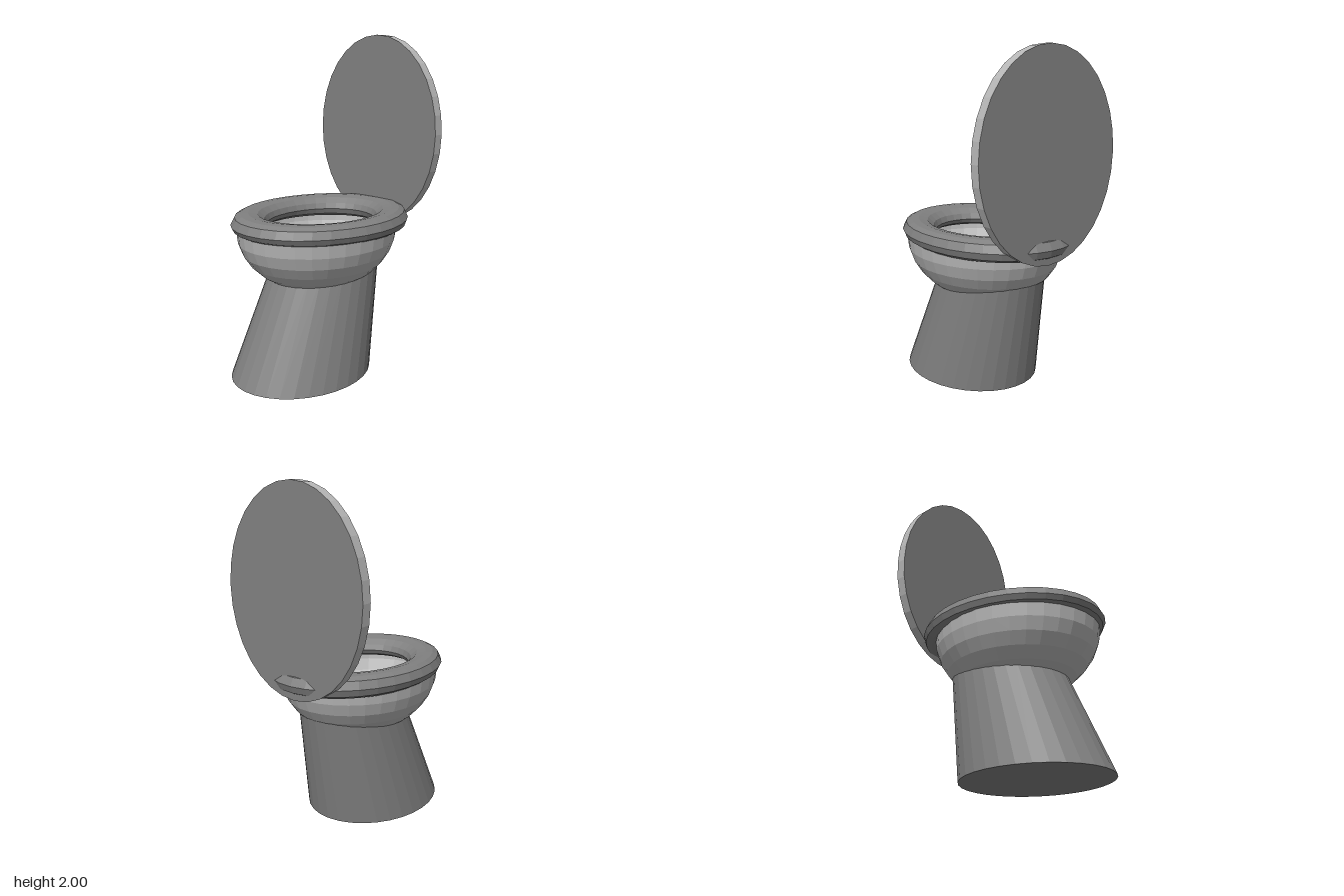
import * as THREE from 'three';

const SEGMENTS = 32;

export function createModel() {
  const model = new THREE.Group();
  const mat = (name, color, side = THREE.FrontSide) =>
    new THREE.MeshStandardMaterial({ name, color, side, flatShading: true });
  const darkGrey = mat('darkGrey', 0x808080);
  const lightGrey = mat('lightGrey', 0xb8b8b8, THREE.DoubleSide);

  const add = (name, geometry, material) => {
    const mesh = new THREE.Mesh(geometry, material);
    mesh.name = name;
    model.add(mesh);
    return mesh;
  };
  const lathe = (points) =>
    new THREE.LatheGeometry(points.map(([r, y]) => new THREE.Vector2(r, y)), SEGMENTS);

  // Pedestal: oval tapered column that leans back towards the top
  const height = 0.665;
  const pedestal = new THREE.CylinderGeometry(1, 1, height, SEGMENTS);
  pedestal.translate(0, height / 2, 0);
  const p = pedestal.attributes.position;
  for (let i = 0; i < p.count; i++) {
    const t = p.getY(i) / height;
    p.setX(i, p.getX(i) * THREE.MathUtils.lerp(0.38, 0.295, t));
    p.setZ(i, p.getZ(i) * THREE.MathUtils.lerp(0.455, 0.349, t) + THREE.MathUtils.lerp(0.155, -0.061, t));
  }
  pedestal.computeVertexNormals();
  add('pedestal', pedestal, darkGrey);

  // Bowl: open half ellipsoid sunk into the pedestal
  const bowlProfile = [];
  for (let i = 0; i <= 8; i++) {
    const a = (i / 8) * Math.PI / 2;
    bowlProfile.push([0.445 * Math.sin(a), 0.87 - 0.38 * Math.cos(a)]);
  }
  const bowl = lathe(bowlProfile);
  bowl.scale(1, 1, 0.515 / 0.445);
  bowl.translate(0, 0, 0.015);
  add('bowl', bowl, lightGrey);

  // Seat: oval ring with a rounded section, underside dropping slightly to the back
  const seat = lathe([
    [0.33, 0.852], [0.43, 0.855], [0.462, 0.875], [0.475, 0.91], [0.455, 0.955],
    [0.425, 0.972], [0.385, 0.975], [0.335, 0.965], [0.3, 0.935], [0.288, 0.9],
    [0.3, 0.87], [0.33, 0.852],
  ]);
  seat.scale(1, 1, 1.24);
  const s = seat.attributes.position;
  for (let i = 0; i < s.count; i++) {
    if (s.getY(i) < 0.89) s.setY(i, s.getY(i) + 0.012 * s.getZ(i));
  }
  seat.translate(0, 0, -0.018);
  seat.computeVertexNormals();
  add('seat', seat, darkGrey);

  // Lid: upright oval disc with a lighter rim
  const lid = new THREE.CylinderGeometry(1, 1, 0.064, SEGMENTS);
  lid.rotateX(Math.PI / 2);
  lid.scale(0.466, 0.59, 1);
  lid.translate(0, 1.41, -0.543);
  add('lid', lid, [lightGrey, darkGrey, darkGrey]);

  return model;
}
